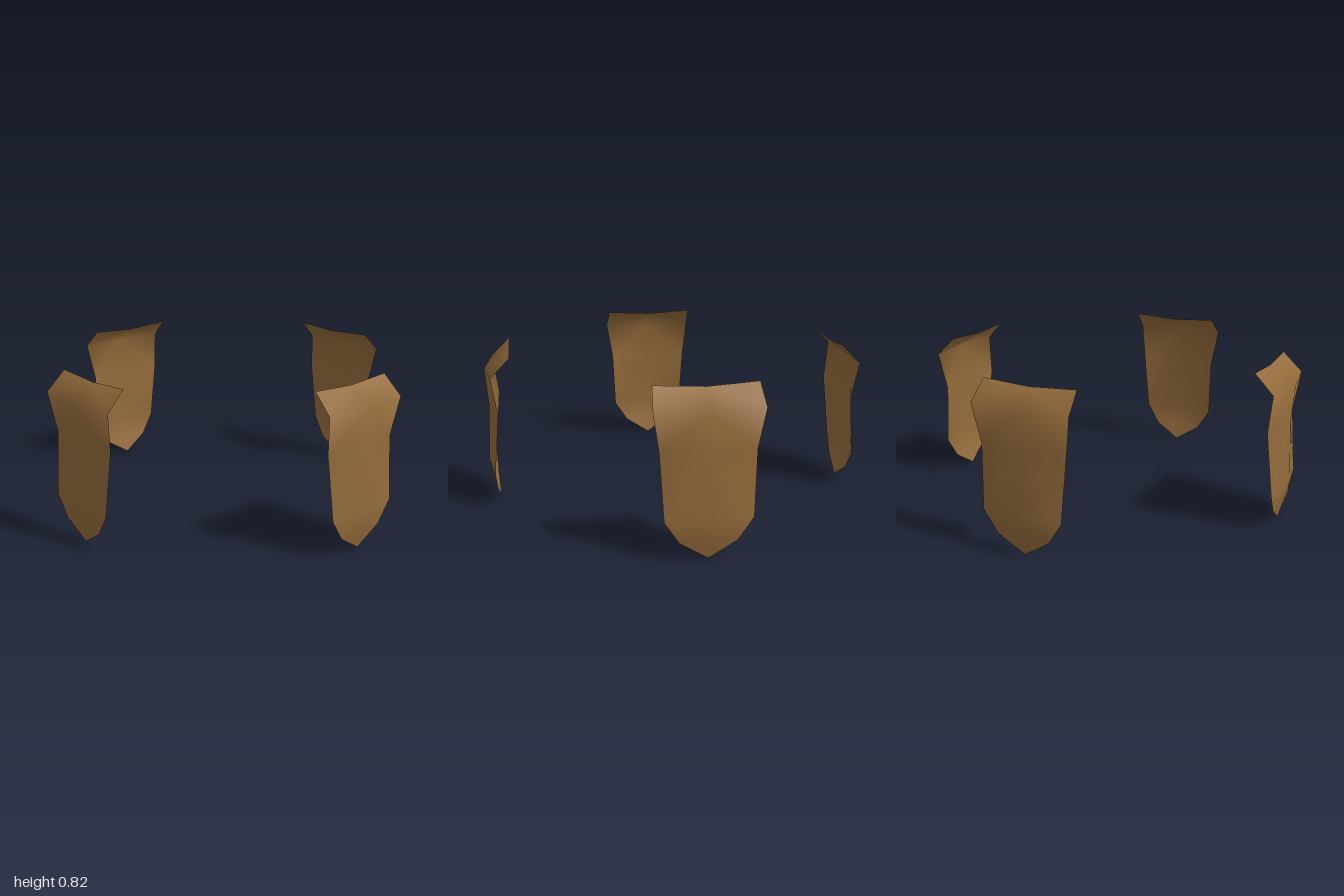
import * as THREE from 'three';

// Rows from top to bottom: half width, edge y, edge z, ridge y, ridge z
const ROWS = [
  [0.247, 0.817, 0.862, 0.803, 0.864],
  [0.257, 0.72, 0.96, 0.71, 0.998],
  [0.226, 0.52, 0.932, 0.52, 0.984],
  [0.21, 0.2, 0.963, 0.205, 0.998],
  [0.137, 0.088, 0.957, 0.09, 0.97],
];
const TIP = [0, 0, 0.946];

// One curved, ridged sheet facing +z and ending in a point
function panelGeometry() {
  const positions = [];
  for (const [w, ey, ez, ry, rz] of ROWS) {
    positions.push(-w, ey, ez, 0, ry, rz, w, ey, ez);
  }
  positions.push(...TIP);
  const index = [];
  for (let r = 0; r < ROWS.length - 1; r++) {
    const a = r * 3;
    // Left and right quads, with mirrored diagonals
    index.push(a, a + 3, a + 1, a + 1, a + 3, a + 4);
    index.push(a + 1, a + 4, a + 5, a + 1, a + 5, a + 2);
  }
  const last = (ROWS.length - 1) * 3;
  const tip = ROWS.length * 3;
  index.push(last, tip, last + 1, last + 1, tip, last + 2);

  const geometry = new THREE.BufferGeometry();
  geometry.setAttribute('position', new THREE.Float32BufferAttribute(positions, 3));
  geometry.setIndex(index);
  geometry.computeVertexNormals();
  return geometry;
}

export function createModel() {
  const model = new THREE.Group();
  model.name = 'hangingPanels';
  const leather = new THREE.MeshStandardMaterial({ color: 0x956c3c, side: THREE.DoubleSide });
  leather.name = 'tan leather';
  const geometry = panelGeometry();

  // Four panels around the centre: name, quarter turns, small offset in x and z
  const panels = [
    ['frontPanel', 0, 0.005, -0.002],
    ['leftPanel', 1, 0, -0.004],
    ['backPanel', 2, -0.006, 0],
    ['rightPanel', 3, 0, -0.004],
  ];
  for (const [name, turns, x, z] of panels) {
    const panel = new THREE.Mesh(geometry, leather);
    panel.name = name;
    panel.rotation.y = turns * Math.PI / 2;
    panel.position.set(x, 0, z);
    model.add(panel);
  }
  return model;
}
